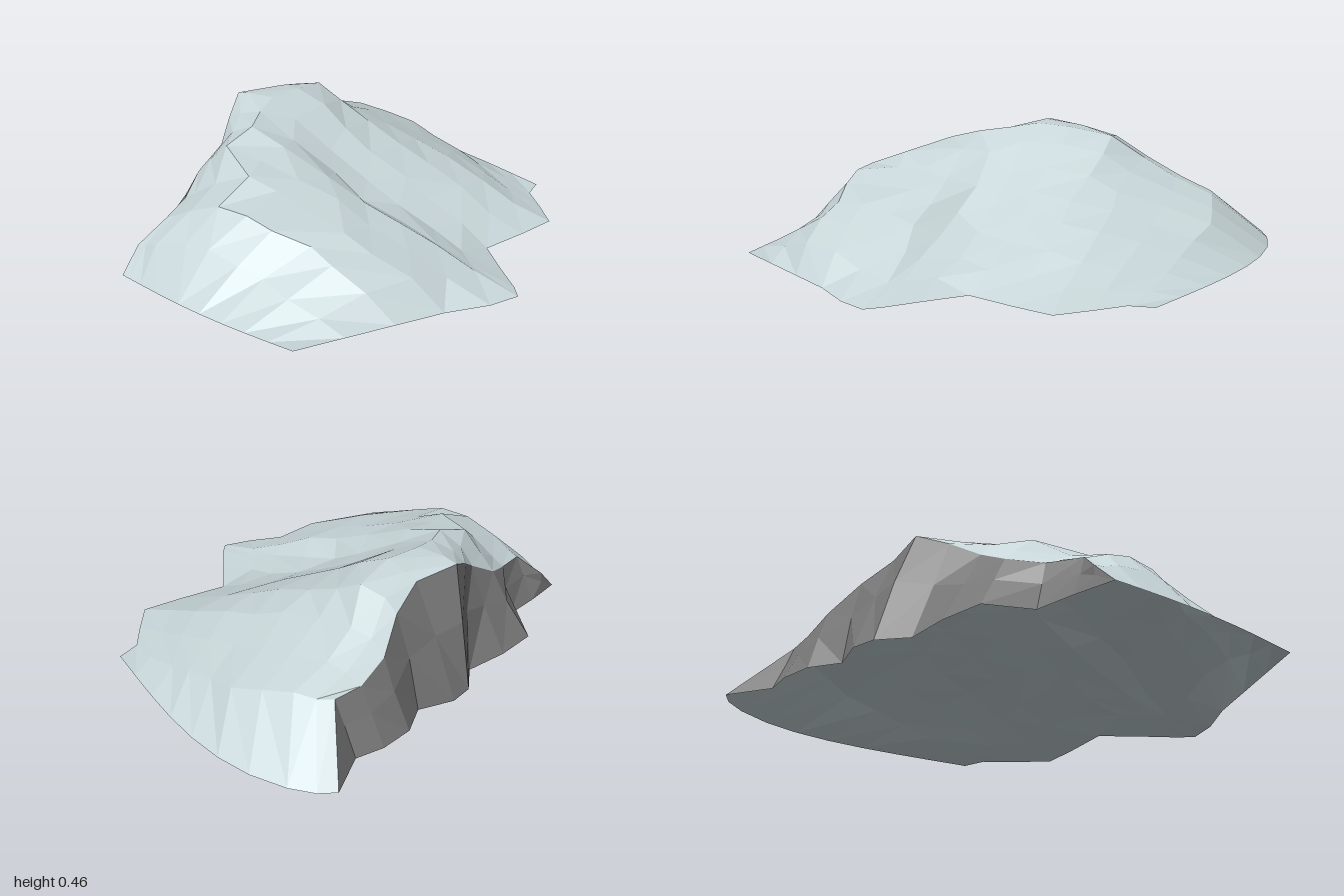
import * as THREE from 'three';

// Top edge of the cliff, back to front: x, y, z
const rim = [
  [-0.76, 0, -0.9], [-0.6, 0.2, -0.71], [-0.63, 0.21, -0.6], [-0.64, 0.27, -0.48],
  [-0.6, 0.37, -0.35], [-0.58, 0.43, -0.2], [-0.64, 0.45, -0.03], [-0.6, 0.39, 0.1],
  [-0.56, 0.32, 0.22], [-0.58, 0.25, 0.35], [-0.54, 0.2, 0.5], [-0.52, 0.18, 0.65],
  [-0.59, 0.09, 0.74], [-0.6, 0, 0.83],
];
// Foot of the cliff on the ground: x, z
const foot = [
  [-0.76, -0.9], [-0.69, -0.71], [-0.73, -0.6], [-0.74, -0.46], [-0.69, -0.33],
  [-0.76, -0.2], [-0.76, -0.1], [-0.69, 0.02], [-0.73, 0.2], [-0.74, 0.38],
  [-0.59, 0.5], [-0.6, 0.66], [-0.6, 0.75], [-0.6, 0.83],
];
// Far edge of the slope on the ground: x, z
const toe = [
  [0.43, -0.71], [0.44, -0.61], [0.53, -0.5], [0.62, -0.38], [0.57, -0.22],
  [0.5, -0.03], [0.62, 0.11], [0.72, 0.22], [0.76, 0.28], [0.7, 0.39],
  [0.58, 0.52], [0.47, 0.68], [0.36, 0.84], [0.25, 1.0],
];
// Where the columns lie between rim (0) and toe (1); the first is the steep snow lip
const columns = [0.045, 0.125, 0.25, 0.375, 0.5, 0.625, 0.75, 0.875];
const heights = [
  [0, 0, 0, 0, 0, 0, 0, 0],
  [0.2, 0.2, 0.18, 0.15, 0.115, 0.08, 0.05, 0.02],
  [0.25, 0.26, 0.24, 0.21, 0.17, 0.13, 0.08, 0.035],
  [0.32, 0.335, 0.31, 0.27, 0.22, 0.17, 0.11, 0.05],
  [0.41, 0.43, 0.38, 0.315, 0.25, 0.19, 0.125, 0.06],
  [0.45, 0.465, 0.41, 0.34, 0.265, 0.19, 0.125, 0.06],
  [0.46, 0.46, 0.4, 0.305, 0.21, 0.14, 0.08, 0.035],
  [0.42, 0.44, 0.365, 0.265, 0.19, 0.14, 0.09, 0.045],
  [0.385, 0.425, 0.375, 0.29, 0.23, 0.18, 0.12, 0.05],
  [0.31, 0.39, 0.365, 0.315, 0.265, 0.2, 0.135, 0.07],
  [0.23, 0.29, 0.355, 0.315, 0.265, 0.22, 0.165, 0.105],
  [0.2, 0.24, 0.285, 0.28, 0.25, 0.21, 0.165, 0.095],
  [0.1, 0.12, 0.16, 0.165, 0.145, 0.115, 0.085, 0.045],
  [0, 0, 0, 0, 0, 0, 0, 0],
];

// Seeded random offset in -1..1
let seed = 7;
function wobble() {
  seed = (seed * 16807) % 2147483647;
  return (seed / 2147483647) * 2 - 1;
}

// Joins rows of points into faceted triangles with varied diagonals
function facetedSheet(rows) {
  const out = [];
  for (let i = 0; i < rows.length - 1; i++) {
    for (let j = 0; j < rows[i].length - 1; j++) {
      const a = rows[i][j], b = rows[i + 1][j], c = rows[i + 1][j + 1], d = rows[i][j + 1];
      // Fold each quad along its flatter diagonal
      const tris = Math.abs(a[1] - c[1]) < Math.abs(b[1] - d[1])
        ? [a, b, c, a, c, d] : [a, b, d, b, c, d];
      for (const p of tris) out.push(...p);
    }
  }
  const geometry = new THREE.BufferGeometry();
  geometry.setAttribute('position', new THREE.Float32BufferAttribute(out, 3));
  geometry.computeVertexNormals();
  return geometry;
}

export function createModel() {
  const snow = new THREE.MeshStandardMaterial({ color: 0xc8d6d9, flatShading: true, side: THREE.DoubleSide });
  snow.name = 'pale snow';
  const rock = new THREE.MeshStandardMaterial({ color: 0x797979, flatShading: true, side: THREE.DoubleSide });
  rock.name = 'grey rock';

  // Slope: two lobes with a valley between, open underneath
  const last = rim.length - 1;
  const slopeRows = rim.map((r, i) => {
    const row = [r];
    const bow = [0.16, 0.12, 0.05][i] || 0;
    heights[i].forEach((h, k) => {
      const t = columns[k];
      const edge = i === 0 || i === last;
      const loose = edge ? 0 : k === 0 ? 0.2 : 1;
      const z = r[2] + (toe[i][1] - r[2]) * t - bow * Math.sin(Math.PI * t ** 0.7);
      row.push([
        r[0] + (toe[i][0] - r[0]) * t + 0.02 * wobble() * loose,
        h + Math.min(0.005, h * 0.15) * wobble() * loose,
        z + 0.018 * wobble() * loose + (i === last ? 0.025 * Math.sin(Math.PI * t) : 0),
      ]);
    });
    row.push([toe[i][0], 0, toe[i][1]]);
    return row;
  });

  // Cliff: foot, a rough middle line and the shared rim
  const cliffRows = rim.map((r, i) => {
    const [fx, fz] = foot[i];
    const rough = r[1] * 0.03;
    const mid = [
      fx + (r[0] - fx) * 0.55 + rough * wobble(),
      r[1] * 0.55,
      fz + (r[2] - fz) * 0.55 + rough * wobble(),
    ];
    return [[fx, 0, fz], mid, r];
  });

  const group = new THREE.Group();
  group.name = 'snowySlope';
  const slope = new THREE.Mesh(facetedSheet(slopeRows), snow);
  slope.name = 'snowSlope';
  const cliff = new THREE.Mesh(facetedSheet(cliffRows), rock);
  cliff.name = 'rockCliff';
  group.add(slope, cliff);
  return group;
}
